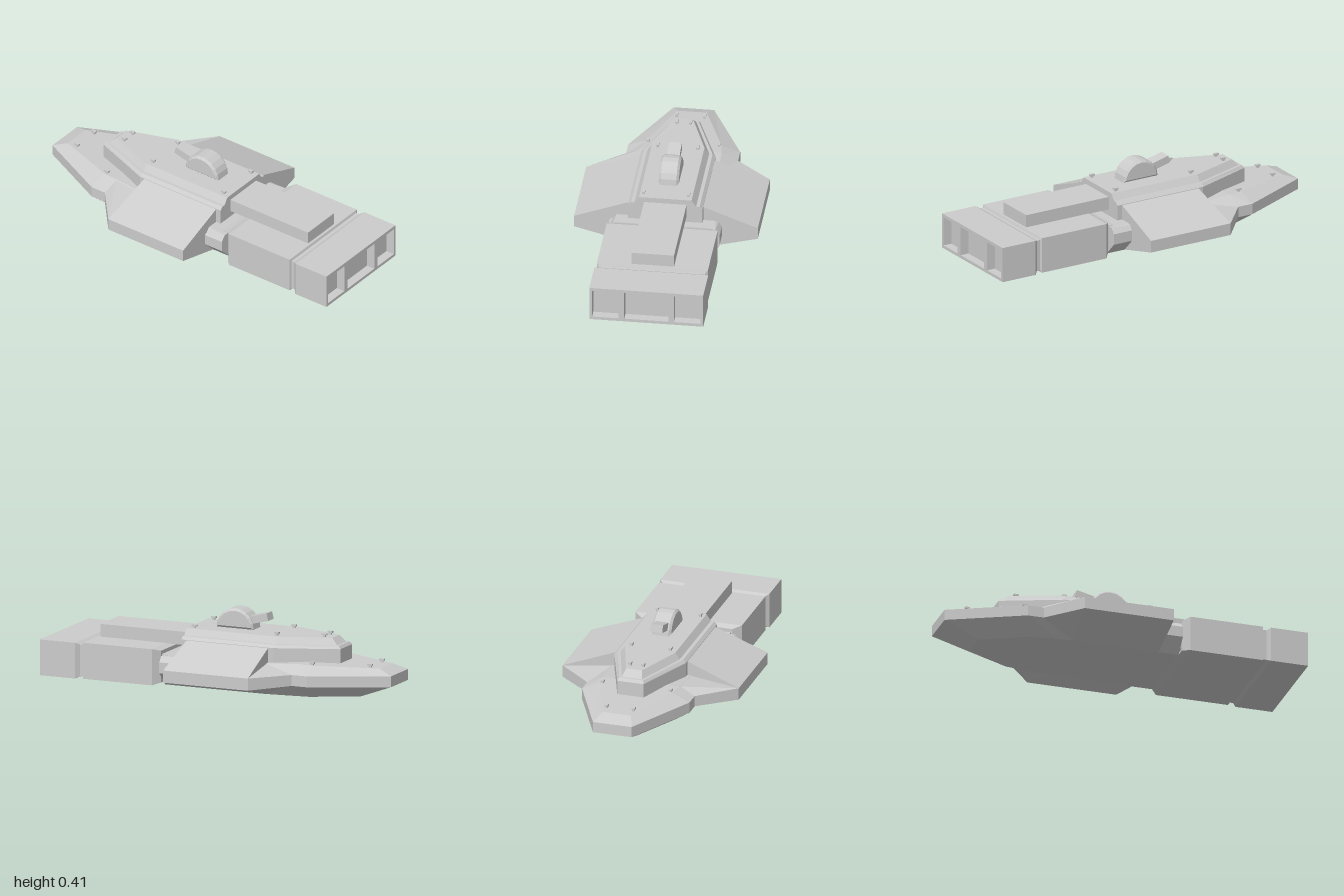
import * as THREE from 'three';

const material = new THREE.MeshStandardMaterial({ color: 0xcccccc, flatShading: true });

// Skin a stack of rings (clockwise seen from the end) and cap both ends with strips.
function loft(rings) {
  const n = rings[0].length, pos = [];
  const quad = (a, b, c, d) => pos.push(...a, ...b, ...c, ...a, ...c, ...d);
  for (let k = 0; k < rings.length - 1; k++) {
    const a = rings[k], b = rings[k + 1];
    for (let i = 0; i < n; i++) {
      const j = (i + 1) % n;
      quad(a[i], b[i], b[j], a[j]);
    }
  }
  const low = rings[0], top = rings[rings.length - 1];
  for (let i = 0; i < n / 2 - 1; i++) {
    const l = n - 1 - i;
    quad(top[l], top[l - 1], top[i + 1], top[i]);
    quad(low[i], low[i + 1], low[l - 1], low[l]);
  }
  const g = new THREE.BufferGeometry();
  g.setAttribute('position', new THREE.Float32BufferAttribute(pos, 3));
  g.computeVertexNormals();
  return g;
}

const flip = (ring) => ring.map(([x, y, z]) => [-x, y, z]).reverse();
// Complete an outline from its +x half, listed nose to tail.
const whole = (half) => [...half, ...flip(half)];
// Rectangular section at depth z.
const section = (z, w, y0, y1) => [[-w, y1, z], [w, y1, z], [w, y0, z], [-w, y0, z]];

export function createModel() {
  const model = new THREE.Group();
  const add = (name, geometry, x = 0, y = 0, z = 0) => {
    const mesh = new THREE.Mesh(geometry, material);
    mesh.name = name;
    mesh.position.set(x, y, z);
    model.add(mesh);
    return mesh;
  };
  const box = (name, w, h, d, x, y, z) => add(name, new THREE.BoxGeometry(w, h, d), x, y, z);

  // Lower hull: keel, upright rim, sloped deck
  const rim = (y) => whole([[0.11, y, -1], [0.305, y, -0.59], [0.305, y, -0.5], [0.305, y, -0.31], [0.305, y, 0.29]]);
  add('hull', loft([
    whole([[0.08, 0, -0.8], [0.2, 0, -0.55], [0.22, 0, -0.4], [0.23, 0, -0.31], [0.23, 0, 0.29]]),
    rim(0.075),
    rim(0.135),
    whole([[0.08, 0.165, -0.92], [0.205, 0.175, -0.58], [0.215, 0.178, -0.5], [0.22, 0.168, -0.31], [0.28, 0.165, 0.29]]),
  ]));

  // Wings and the sloped strakes ahead of them
  const wing = [
    [[0.23, 0, -0.31], [0.5, 0.07, -0.33], [0.5, 0.07, 0.175], [0.23, 0, 0.175]],
    [[0.19, 0.252, -0.31], [0.5, 0.137, -0.33], [0.5, 0.137, 0.175], [0.19, 0.252, 0.175]],
  ];
  const strake = [
    [[0.2, 0.06, -0.5], [0.305, 0.075, -0.5], [0.5, 0.07, -0.33], [0.23, 0, -0.31]],
    [[0.2, 0.178, -0.5], [0.305, 0.135, -0.5], [0.5, 0.137, -0.33], [0.2, 0.168, -0.31]],
  ];
  add('leftWing', loft(wing));
  add('rightWing', loft(wing.map(flip)));
  add('leftStrake', loft(strake));
  add('rightStrake', loft(strake.map(flip)));

  // Stepped superstructure: each tier is [half width, nose half width, nose z, y]
  const tier = ([w, nw, nz, y], rear) =>
    whole([[nw, y, nz], [w, y, -0.34], [w, y, rear]]);
  const tiers = [
    [0.203, 0.075, -0.682, 0.15], [0.203, 0.075, -0.682, 0.25],
    [0.187, 0.067, -0.67, 0.266], [0.168, 0.058, -0.655, 0.266],
    [0.143, 0.045, -0.62, 0.302],
  ];
  add('superstructure', loft(tiers.map((t) => tier(t, 0.205))));

  // Engine block, waist and nozzle body
  add('engine', loft([
    section(0.2, 0.25, 0.03, 0.16), section(0.3, 0.25, 0.03, 0.17),
    section(0.3, 0.26, 0.015, 0.19), section(0.335, 0.302, 0.004, 0.203),
    section(0.745, 0.302, 0.004, 0.203), section(0.75, 0.29, 0.014, 0.19),
    section(0.77, 0.29, 0.014, 0.19), section(0.79, 0.31, 0.003, 0.2),
    section(0.95, 0.31, 0.003, 0.2),
  ]));

  // Nozzle frame with three recessed openings
  const rect = (path, x0, x1, y0, y1) =>
    path.moveTo(x0, y0).lineTo(x1, y0).lineTo(x1, y1).lineTo(x0, y1).closePath();
  const frame = rect(new THREE.Shape(), -0.31, 0.31, 0.003, 0.2);
  for (const [x0, x1] of [[-0.295, -0.15], [-0.12, 0.12], [0.15, 0.295]]) {
    frame.holes.push(rect(new THREE.Path(), x0, x1, 0.02, 0.182));
  }
  add('nozzleFrame', new THREE.ExtrudeGeometry(frame, { depth: 0.05, bevelEnabled: false }), 0, 0, 0.95);

  // Box running back along the spine
  box('dorsalHousing', 0.232, 0.072, 0.58, 0, 0.237, 0.44);

  // Turret: bevelled half drum with a raised barrel
  const drum = new THREE.Shape();
  for (let i = 0; i <= 10; i++) {
    const a = (i / 10) * Math.PI;
    const p = [0.11 * Math.cos(a), 0.11 * Math.sin(a)];
    if (i) drum.lineTo(...p); else drum.moveTo(...p);
  }
  const drumGeometry = new THREE.ExtrudeGeometry(drum, {
    depth: 0.086, bevelThickness: 0.012, bevelSize: 0.012, bevelOffset: -0.012, bevelSegments: 1,
  });
  drumGeometry.translate(0, 0, -0.043).rotateY(Math.PI / 2);
  add('turret', drumGeometry, 0, 0.304, -0.04);
  box('turretBarrel', 0.07, 0.042, 0.14, 0, 0.362, -0.16).rotation.x = 0.24;

  // Small deck fittings, mirrored left and right
  const fittings = [
    [0.122, 0.308, 0.165], [0.11, 0.308, -0.32], [0.037, 0.308, -0.57],
    [0.193, 0.18, -0.57], [0.076, 0.173, -0.86],
  ];
  for (const [x, y, z] of fittings) {
    for (const s of [-1, 1]) {
      box('fittingPost', 0.012, 0.02, 0.014, s * x, y, z);
      box('fittingHead', 0.016, 0.01, 0.028, s * x, y + 0.008, z);
    }
  }
  return model;
}
